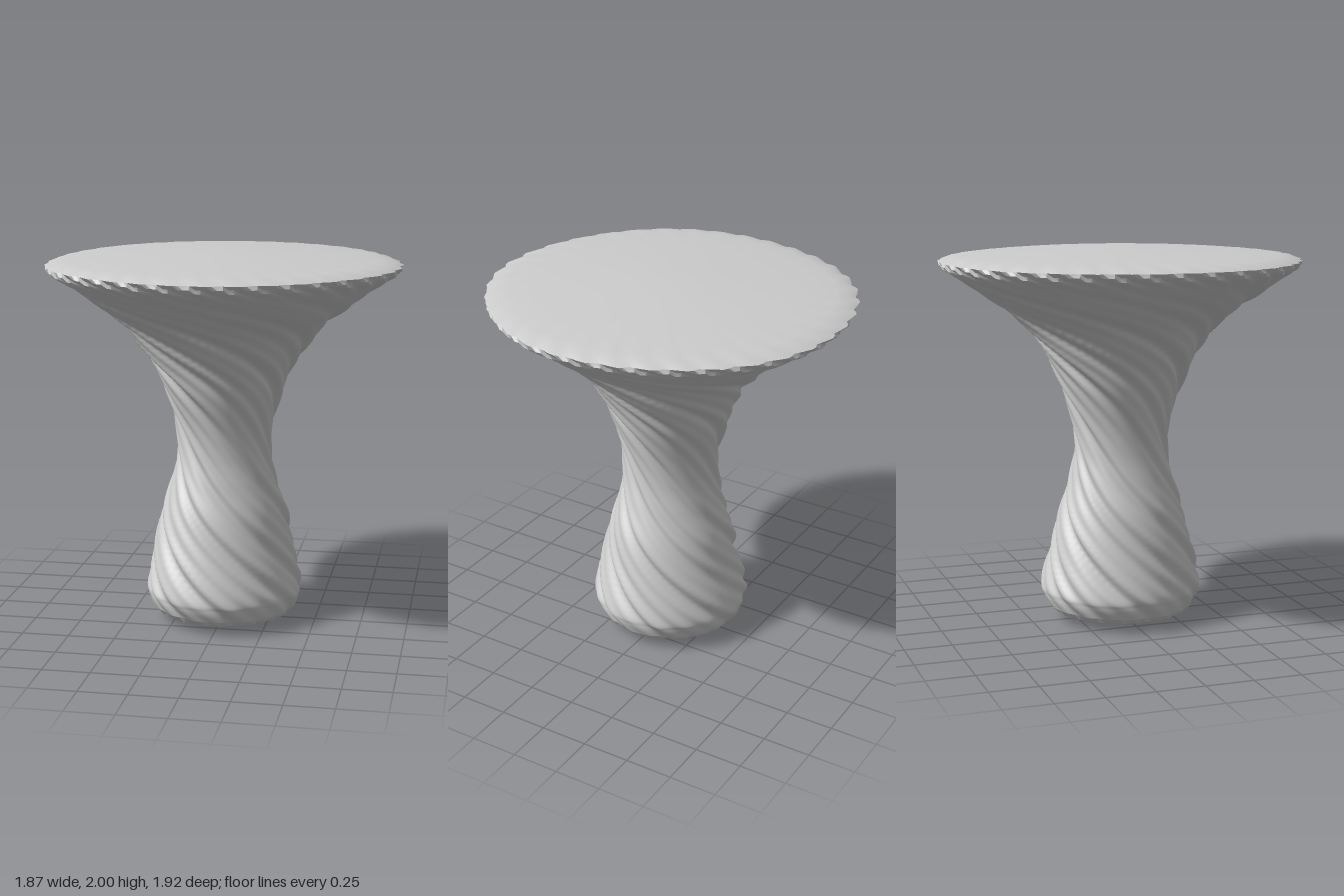
import * as THREE from 'three';
import { mergeVertices, toCreasedNormals } from 'three/addons/utils/BufferGeometryUtils.js';

const TEETH = 36;
const SEGMENTS = TEETH * 6;
const RIM_Y = 1.89;

// Spiral angle of the folds at height y: the cloth winds faster towards the top
const twist = (y) => 3 * y + 1.6 * Math.max(0, y - 1.2) ** 2;

// Irregular folds, roughly -1..1, around the column
const folds = (u) =>
  0.38 * Math.sin(2 * u + 0.6) * 0.5 +
  0.3 * Math.sin(7 * u + 1.3) +
  0.35 * Math.sin(11 * u) +
  0.35 * Math.sin(18 * u + 2.1);

// Skewed saw-tooth for the pleated rims
function tooth(u) {
  const t = ((u * TEETH) / (2 * Math.PI)) % 1;
  const f = t < 0 ? t + 1 : t;
  return f < 0.75 ? (f / 0.75) * 2 - 1 : 1 - ((f - 0.75) / 0.25) * 2;
}

const vectors = (pairs) => pairs.map(([r, y]) => new THREE.Vector2(r, y));

// Revolve a profile, then displace each point radially by a rule(angle, y, r)
function twistedLathe(profile, rule, crease) {
  let geo = new THREE.LatheGeometry(profile, SEGMENTS);
  const pos = geo.attributes.position;
  for (let i = 0; i < pos.count; i++) {
    const x = pos.getX(i), y = pos.getY(i), z = pos.getZ(i);
    const r = Math.hypot(x, z);
    if (r < 1e-4) continue;
    const nr = r + rule(Math.atan2(x, z), y, r);
    // the flange is a little deeper than it is wide
    const depth = 1 + 0.03 * THREE.MathUtils.smoothstep(y, 1.3, 1.9);
    pos.setXYZ(i, (x / r) * nr, y, (z / r) * nr * depth);
  }
  geo.deleteAttribute('uv');
  geo.deleteAttribute('normal');
  geo = mergeVertices(geo, 1e-5);
  geo.computeVertexNormals();
  return crease ? toCreasedNormals(geo, crease) : geo;
}

export function createModel() {
  const group = new THREE.Group();
  const material = new THREE.MeshStandardMaterial({ color: 0xcccccc, side: THREE.DoubleSide });
  const add = (name, geo) => {
    const mesh = new THREE.Mesh(geo, material);
    mesh.name = name;
    group.add(mesh);
  };

  const foldRule = (a, y, r) => {
    const fade = 1 - 0.72 * THREE.MathUtils.smoothstep(y, 1.35, RIM_Y);
    const foot = THREE.MathUtils.smoothstep(y, 0.05, 0.3);
    return r * 0.07 * fade * (0.35 + 0.65 * foot) * folds(a + twist(y));
  };
  const rimRule = (a, y) => 0.012 * tooth(a + 3 * y) + 0.006 * Math.sin(5 * a + 1);

  // Twisted column flaring into the underside of the top
  const column = new THREE.SplineCurve(vectors([
    [0.385, 0.08], [0.41, 0.14], [0.415, 0.2], [0.37, 0.4], [0.325, 0.6], [0.275, 0.77],
    [0.248, 0.92], [0.258, 1.08], [0.31, 1.26], [0.38, 1.42], [0.51, 1.6],
    [0.7, 1.75], [0.9, RIM_Y],
  ])).getPoints(90);
  add('twistedColumn', twistedLathe(column, (a, y, r) => {
    const k = THREE.MathUtils.smoothstep(y, 1.8, RIM_Y);
    return foldRule(a, y, r) * (1 - k) + rimRule(a, y) * k;
  }));

  // Pleated edge band
  const band = vectors([[0.9, RIM_Y], [0.918, 1.91], [0.925, 1.93]]);
  add('pleatedRim', twistedLathe(band, rimRule, 0.4));

  // Slightly domed top, its pleats dying out towards the middle
  const top = vectors([
    [0.925, 1.93], [0.88, 1.948], [0.82, 1.957], [0.7, 1.968],
    [0.5, 1.981], [0.25, 1.993], [0, 2],
  ]);
  add('top', twistedLathe(top, (a, y, r) => rimRule(a, y) * THREE.MathUtils.smoothstep(r, 0.6, 0.925)));

  // Shallow conical underside of the foot, meeting the column's first ring
  const base = vectors([[0, 0], [0.1, 0.006], [0.22, 0.017], [0.31, 0.033], [0.36, 0.053], [0.385, 0.08]]);
  add('footUnderside', twistedLathe(base, (a, y, r) => {
    const k = THREE.MathUtils.smoothstep(r, 0.1, 0.385);
    const pleat = 0.008 * tooth(a + 4 * y) * THREE.MathUtils.smoothstep(r, 0.2, 0.33) * (1 - THREE.MathUtils.smoothstep(y, 0.053, 0.08));
    return foldRule(a, y, r) * k + pleat;
  }, 0.6));

  return group;
}
